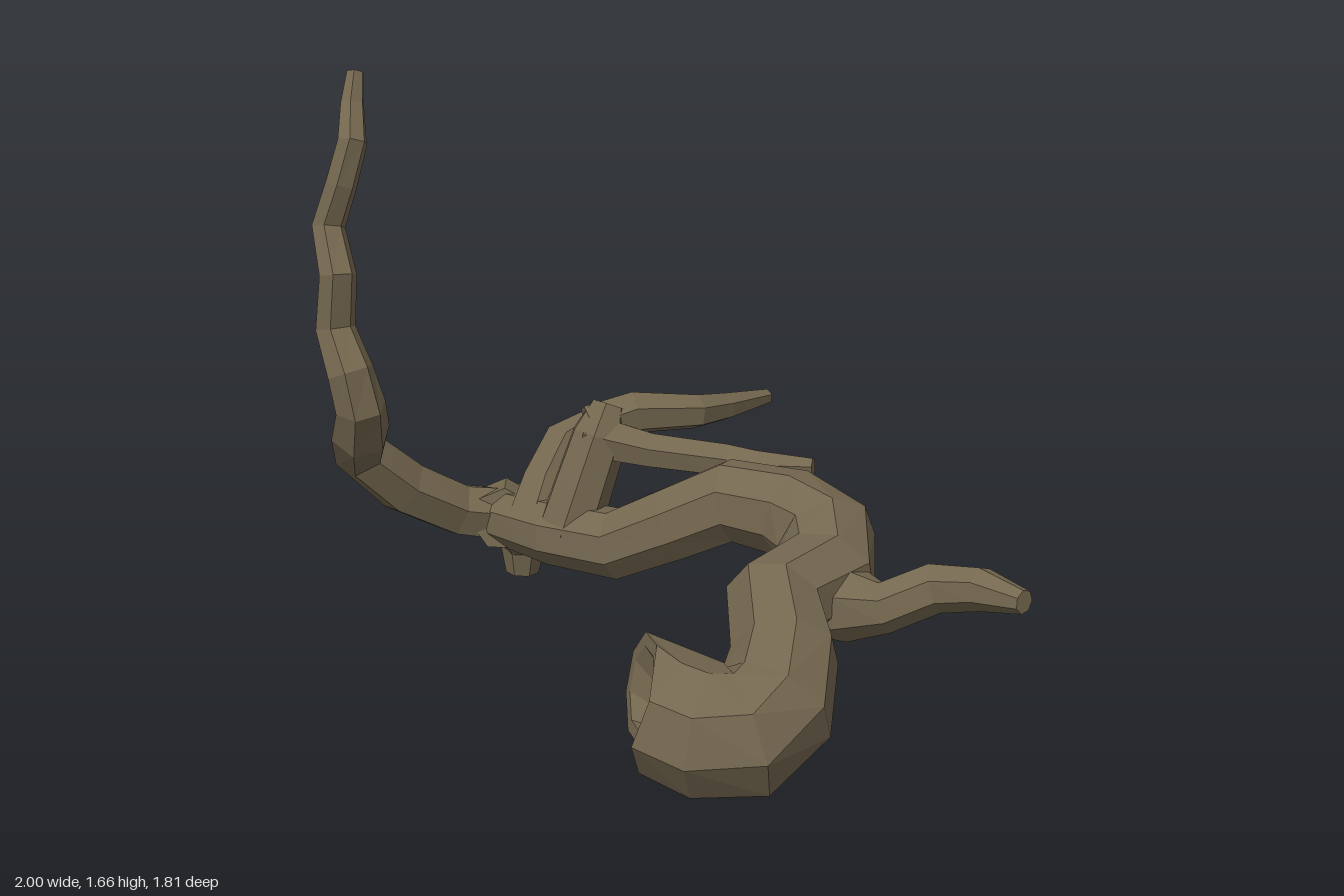
import * as THREE from 'three';

const bark = new THREE.MeshStandardMaterial({ color: 0x74674f, flatShading: true });
bark.name = 'bark';

// Faceted limb swept along rows of [x, y, z, radius]; with a mouth direction it ends in an open bore.
function limb(name, rows, sides = 7, mouth = null) {
  const centres = rows.map(([x, y, z]) => new THREE.Vector3(x, y, z));
  const last = rows.length - 1;
  const rings = [];
  let normal = new THREE.Vector3(0.13, 0.31, 0.94);
  let tangent;
  const ring = (centre, radius) => {
    const side = new THREE.Vector3().crossVectors(tangent, normal);
    const points = [];
    for (let j = 0; j < sides; j++) {
      const a = (j / sides) * Math.PI * 2;
      points.push(centre.clone()
        .addScaledVector(normal, Math.cos(a) * radius)
        .addScaledVector(side, Math.sin(a) * radius));
    }
    rings.push(points);
  };
  centres.forEach((c, i) => {
    const before = c.clone().sub(centres[Math.max(i - 1, 0)]).normalize();
    const after = centres[Math.min(i + 1, last)].clone().sub(c).normalize();
    tangent = before.add(after).normalize();
    if (mouth && i === last) tangent.copy(mouth).normalize();
    normal = normal.clone().addScaledVector(tangent, -normal.dot(tangent)).normalize();
    ring(c, rows[i][3] * 1.04);
  });
  const tip = centres[last].clone();
  if (mouth) {
    const r = rows[last][3];
    ring(tip, r * 0.78);
    tip.lerp(centres[last - 1], 0.75);
    ring(tip, r * 0.5);
  }

  const positions = [];
  const face = (...corners) => corners.forEach((p) => positions.push(p.x, p.y, p.z));
  const end = rings.length - 1;
  for (let j = 0; j < sides; j++) {
    const k = (j + 1) % sides;
    for (let i = 0; i < end; i++) {
      face(rings[i][j], rings[i][k], rings[i + 1][k]);
      face(rings[i][j], rings[i + 1][k], rings[i + 1][j]);
    }
    face(centres[0], rings[0][k], rings[0][j]);
    face(tip, rings[end][j], rings[end][k]);
  }
  const geometry = new THREE.BufferGeometry();
  geometry.setAttribute('position', new THREE.Float32BufferAttribute(positions, 3));
  geometry.computeVertexNormals();
  const mesh = new THREE.Mesh(geometry, bark);
  mesh.name = name;
  return mesh;
}

export function createModel() {
  const group = new THREE.Group();
  group.name = 'driftwoodBranch';
  group.add(
    // Thick trunk, from the thin fork to the curled hollow end
    limb('trunk', [
      [-0.68, 0.33, -0.33, 0.06], [-0.58, 0.33, -0.25, 0.085], [-0.4, 0.335, -0.155, 0.095],
      [-0.2, 0.332, -0.11, 0.1], [-0.02, 0.42, -0.09, 0.105], [0.14, 0.5, -0.085, 0.113],
      [0.31, 0.49, -0.055, 0.12], [0.43, 0.45, 0.03, 0.135], [0.455, 0.4, 0.18, 0.135],
      [0.36, 0.39, 0.37, 0.125], [0.42, 0.325, 0.53, 0.13], [0.425, 0.25, 0.66, 0.145],
      [0.37, 0.21, 0.735, 0.155], [0.28, 0.21, 0.75, 0.158], [0.19, 0.225, 0.72, 0.155],
      [0.1, 0.265, 0.68, 0.132],
    ], 8, new THREE.Vector3(-0.85, 0.2, 0.48)),
    // Short pointed branch on the left
    limb('sideBranch', [
      [0.44, 0.38, 0.2, 0.125], [0.54, 0.365, 0.26, 0.095], [0.63, 0.38, 0.29, 0.065],
      [0.75, 0.43, 0.25, 0.064], [0.87, 0.455, 0.295, 0.055], [0.98, 0.46, 0.37, 0.03],
    ]),
    // Tall wavy branch on the right
    limb('tallBranch', [
      [-0.6, 0.33, -0.28, 0.085], [-0.72, 0.36, -0.2, 0.08], [-0.84, 0.46, -0.08, 0.082],
      [-0.92, 0.59, 0.03, 0.075], [-0.87, 0.68, 0.13, 0.08], [-0.84, 0.77, 0.185, 0.068],
      [-0.86, 0.87, 0.195, 0.063], [-0.92, 0.98, 0.15, 0.054], [-0.9, 1.13, 0.16, 0.05],
      [-0.955, 1.25, 0.09, 0.045], [-0.91, 1.37, 0.09, 0.042], [-0.88, 1.48, 0.075, 0.04],
      [-0.91, 1.57, 0.0, 0.033], [-0.915, 1.655, -0.04, 0.024],
    ], 6),
    // Bent foot that touches the ground
    limb('foot', [
      [-0.58, 0.34, -0.2, 0.09], [-0.62, 0.32, -0.32, 0.1], [-0.65, 0.25, -0.47, 0.09],
      [-0.665, 0.185, -0.6, 0.088], [-0.68, 0.1, -0.645, 0.07], [-0.685, 0.005, -0.645, 0.052],
    ]),
    limb('footBranch', [
      [-0.67, 0.14, -0.62, 0.08], [-0.61, 0.23, -0.665, 0.072], [-0.535, 0.295, -0.72, 0.056],
      [-0.48, 0.35, -0.78, 0.045], [-0.44, 0.43, -0.8, 0.038], [-0.36, 0.49, -0.885, 0.022],
    ], 6),
    limb('footSpike', [
      [-0.67, 0.16, -0.58, 0.07], [-0.625, 0.25, -0.54, 0.066], [-0.585, 0.35, -0.485, 0.045],
      [-0.55, 0.42, -0.455, 0.028],
    ], 6),
    // Stub behind the trunk and the twig hanging from it
    limb('rearStub', [
      [-0.47, 0.33, -0.18, 0.09], [-0.46, 0.44, -0.27, 0.078], [-0.43, 0.54, -0.36, 0.072],
      [-0.38, 0.58, -0.42, 0.048], [-0.36, 0.575, -0.49, 0.032],
    ], 6),
    limb('twig', [
      [-0.36, 0.575, -0.48, 0.03], [-0.4, 0.555, -0.51, 0.03], [-0.43, 0.52, -0.56, 0.03],
      [-0.47, 0.485, -0.575, 0.032], [-0.54, 0.45, -0.58, 0.033], [-0.55, 0.37, -0.63, 0.035],
      [-0.585, 0.32, -0.625, 0.038], [-0.61, 0.25, -0.66, 0.042],
    ], 5),
    // Forked branch above the trunk
    limb('forkBase', [
      [-0.36, 0.34, -0.14, 0.09], [-0.32, 0.48, -0.17, 0.085], [-0.28, 0.62, -0.205, 0.08],
      [-0.26, 0.705, -0.24, 0.052],
    ]),
    limb('forkRearLimb', [
      [-0.31, 0.64, -0.21, 0.068], [-0.2, 0.675, -0.28, 0.062], [-0.04, 0.66, -0.39, 0.05],
      [0.02, 0.65, -0.5, 0.041], [0.11, 0.64, -0.68, 0.023],
    ], 6),
    limb('forkSideLimb', [
      [-0.31, 0.62, -0.2, 0.068], [-0.12, 0.59, -0.2, 0.053], [0.1, 0.575, -0.21, 0.05],
      [0.19, 0.572, -0.19, 0.047], [0.35, 0.58, -0.19, 0.028],
    ], 6),
  );
  return group;
}
